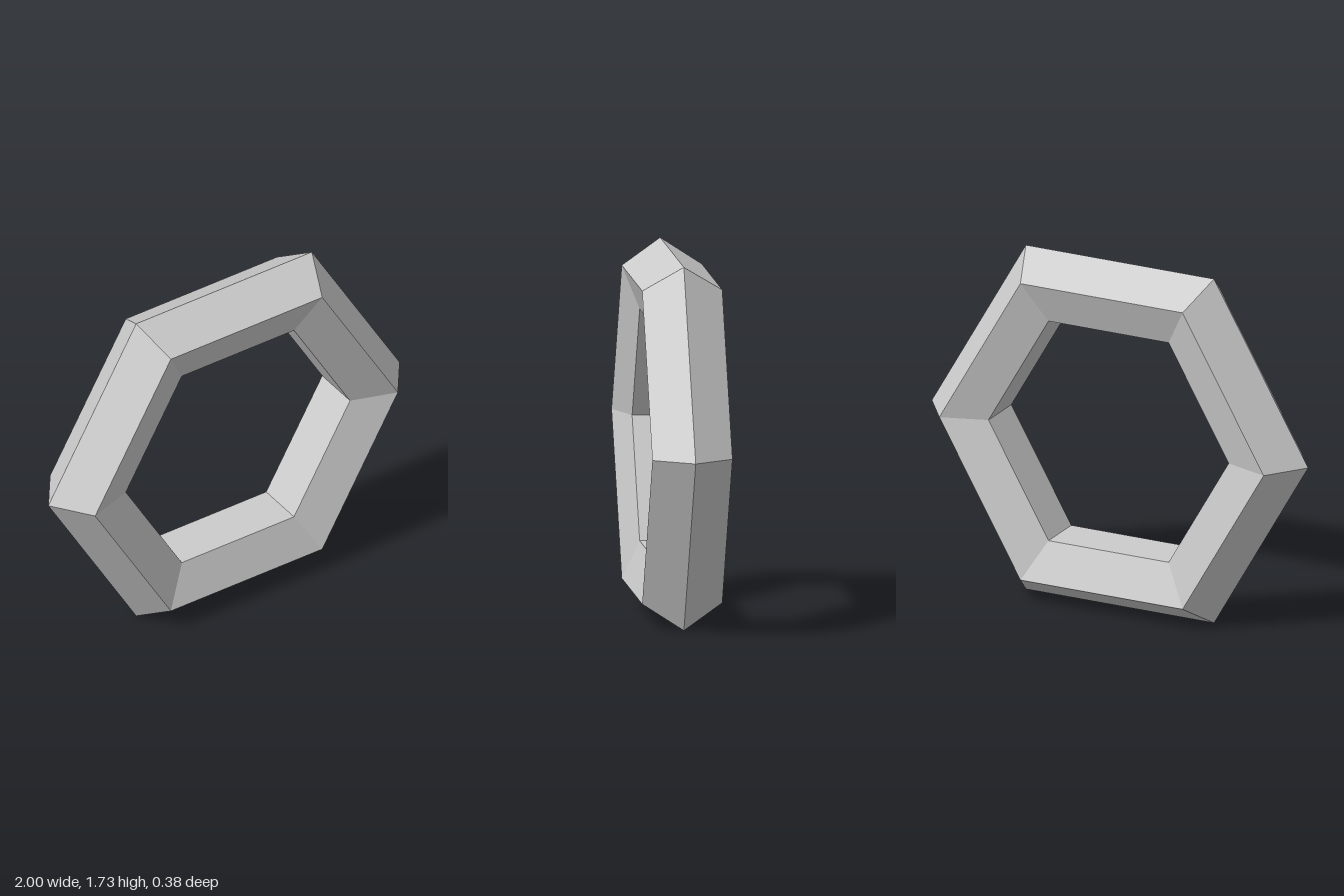
import * as THREE from 'three';

export function createModel() {
  const group = new THREE.Group();
  const material = new THREE.MeshStandardMaterial({ color: 0xcccccc, flatShading: true });

  // Hexagonal ring with a pentagonal cross-section, one ridge pointing outward
  const tube = 0.2, radius = 0.8, sides = 6;
  const ring = new THREE.Mesh(new THREE.TorusGeometry(radius, tube, 5, sides), material);
  ring.name = 'hexagonalRing';

  // Rest the lower flat edge on the ground
  ring.position.y = (radius + tube) * Math.cos(Math.PI / sides);
  group.add(ring);
  return group;
}
